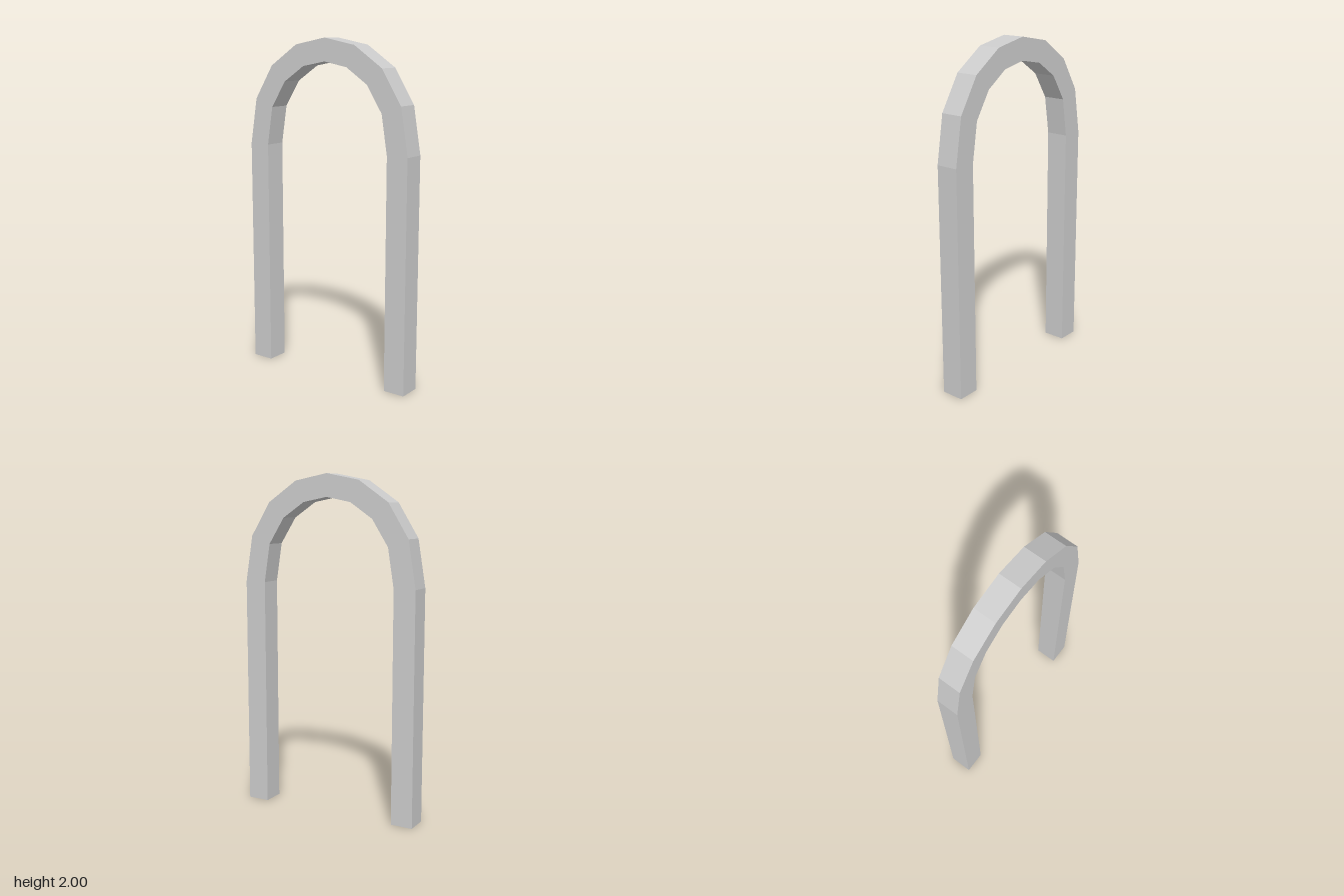
import * as THREE from 'three';

export function createModel() {
  const group = new THREE.Group();
  const material = new THREE.MeshStandardMaterial({ color: 0xcccccc, flatShading: true });

  // Right-hand half of each outline, from the foot up to the crown
  const outer = [[0.557, 0], [0.557, 1.366], [0.511, 1.64], [0.387, 1.838], [0.204, 1.961], [0, 2]];
  const inner = [[0.425, 0], [0.425, 1.366], [0.388, 1.594], [0.289, 1.748], [0.152, 1.839], [0, 1.868]];

  // Full run over the arch: up the +x side, down the mirrored side
  const arch = (half) => [...half, ...half.slice(0, -1).reverse().map(([x, y]) => [-x, y])];

  // Square bar bent into an arch: two straight legs and a faceted top
  const outline = [...arch(outer), ...arch(inner).reverse()];
  const shape = new THREE.Shape(outline.map(([x, y]) => new THREE.Vector2(x, y)));
  const depth = 0.134;
  const geometry = new THREE.ExtrudeGeometry(shape, { depth, bevelEnabled: false });
  geometry.translate(0, 0, -depth / 2);

  const mesh = new THREE.Mesh(geometry, material);
  mesh.name = 'archBar';
  group.add(mesh);
  return group;
}
